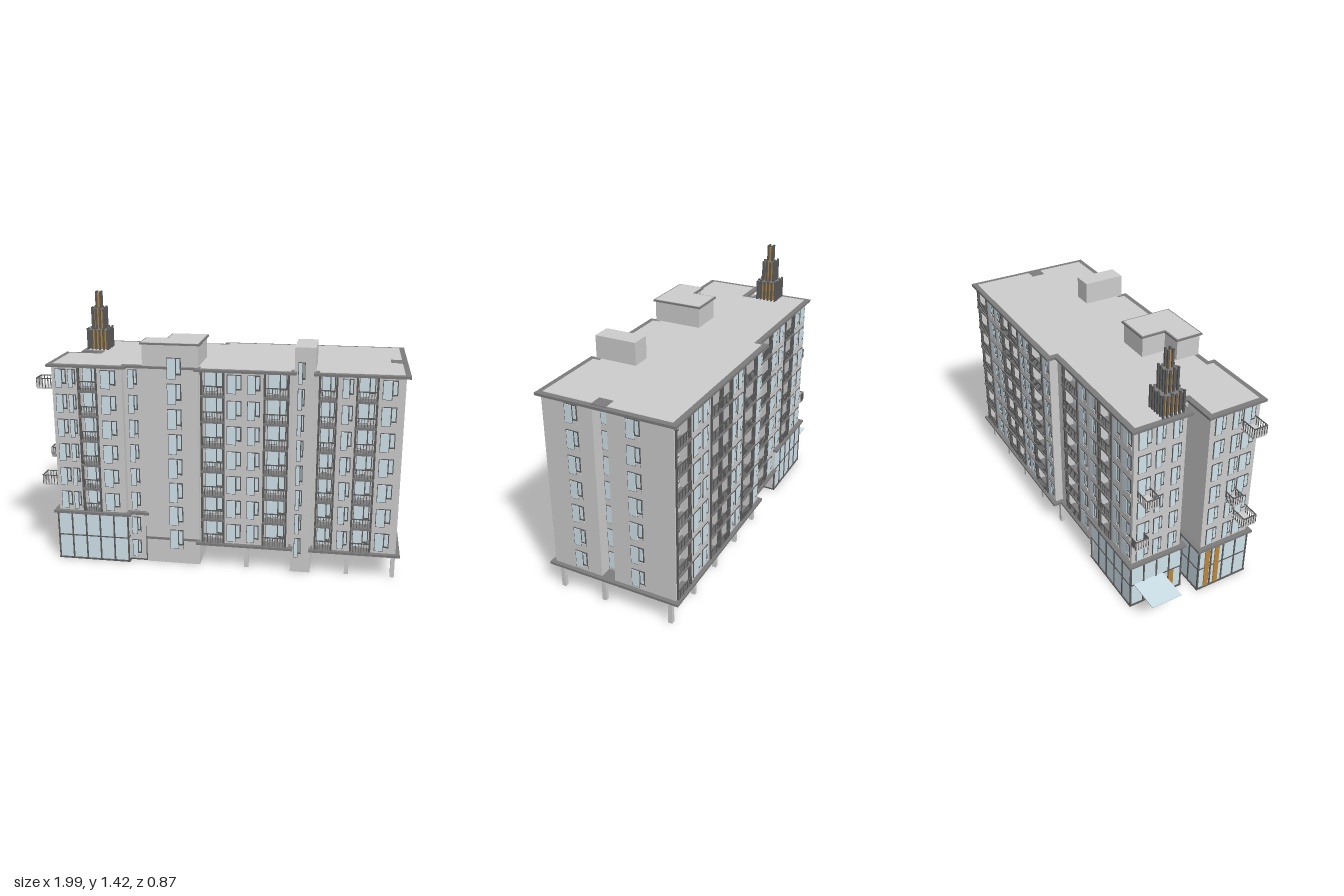
import * as THREE from 'three';
import { mergeGeometries } from 'three/addons/utils/BufferGeometryUtils.js';

const mat = (color) => new THREE.MeshStandardMaterial({ color });
const MATS = { wall: mat(0xcccccc), dark: mat(0x5c5c5c), rim: mat(0x7c7c7c), glass: mat(0xcfe2ea), gold: mat(0xb8863b) };
const FLOOR = 0.1357, BASE = 0.145, TOP = 1.085, FLOORS = 7, DEPTH = 0.05;
const floorY = (k) => BASE + k * FLOOR;
const FRONT = 0, RIGHT = Math.PI / 2, BACK = Math.PI, LEFT = -Math.PI / 2;

export function createModel() {
  const model = new THREE.Group();
  model.name = 'apartmentBlock';
  const buckets = new Map();

  // Geometry with the same part name is gathered into one mesh
  const put = (name, material, geo) => {
    if (!buckets.has(name)) buckets.set(name, { material, list: [] });
    buckets.get(name).list.push(geo.index ? geo.toNonIndexed() : geo);
  };
  // Box between two corners
  const block = (name, m, x0, x1, y0, y1, z0, z1) => put(name, m,
    new THREE.BoxGeometry(x1 - x0, y1 - y0, z1 - z0).translate((x0 + x1) / 2, (y0 + y1) / 2, (z0 + z1) / 2));
  // Box in the frame of a wall: a along it, b up, c outward
  const onWall = (name, m, o, a, b, c, w, h, d) => put(name, m,
    new THREE.BoxGeometry(w, h, d).translate(a, b, c).rotateY(o.face).translate(o.x, o.y, o.z));
  // Plan polygon extruded upward
  const slab = (name, m, pts, y0, y1) => {
    const shape = new THREE.Shape(pts.map(([x, z]) => new THREE.Vector2(x, -z)));
    put(name, m, new THREE.ExtrudeGeometry(shape, { depth: y1 - y0, bevelEnabled: false })
      .rotateX(-Math.PI / 2).translate(0, y0, 0));
  };
  // Offset a right-angled plan inward
  const inset = (pts, d) => pts.map((p, i) => {
    const q = pts[(i + pts.length - 1) % pts.length], r = pts[(i + 1) % pts.length];
    const n = (a, b) => [-Math.sign(b[1] - a[1]), Math.sign(b[0] - a[0])];
    const n1 = n(q, p), n2 = n(p, r);
    return [p[0] + d * (n1[0] + n2[0]), p[1] + d * (n1[1] + n2[1])];
  });

  // Window: dark frame, wide pane and a narrow opening sash
  const windowUnit = (x, y, z, face, w, h) => {
    const o = { x, y, z, face }, s = w * 0.36;
    onWall('windowFrames', MATS.dark, o, 0, 0, 0.001, w, h, 0.006);
    onWall('windowPanes', MATS.glass, o, -s / 2, 0, 0.003, w - s - 0.006, h - 0.006, 0.006);
    onWall('windowPanes', MATS.glass, o, w / 2 - s / 2 - 0.001, h * 0.12, 0.002, s - 0.008, h * 0.66, 0.006);
    onWall('windowSills', MATS.wall, o, w / 2 - s / 2, -h * 0.4, 0.003, s, h * 0.2, 0.007);
  };
  const windowColumn = (x, z, face, w, from = 0) => {
    for (let k = from; k < FLOORS; k++) windowUnit(x, floorY(k) + 0.064, z, face, w, 0.1);
  };

  // Railing around three sides of a balcony
  const railing = (o, w, d) => {
    const n = Math.max(3, Math.round(w / 0.014));
    onWall('balconyRails', MATS.dark, o, 0, 0.052, d, w, 0.005, 0.005);
    for (let i = 0; i <= n; i++) onWall('balconyRails', MATS.dark, o, -w / 2 + (w * i) / n, 0.028, d, 0.003, 0.05, 0.003);
  };
  // Recessed balconies, one over another
  const loggia = (u0, u1, z, face, from) => {
    const w = u1 - u0, x = (u0 + u1) / 2;
    for (let k = from; k < FLOORS; k++) {
      const o = { x, y: floorY(k), z, face };
      onWall('balconySlabs', MATS.rim, o, 0, -0.002, -DEPTH / 2 + 0.007, w + 0.008, 0.012, DEPTH + 0.014);
      railing(o, w, 0.009);
      windowUnit(x, floorY(k) + 0.064, z + (face === FRONT ? -DEPTH : DEPTH), face, w * 0.82, 0.11);
    }
    const y0 = from ? 0.285 : BASE;
    for (const e of [u0, u1]) block('loggiaPosts', MATS.dark, e - 0.005, e + 0.005, y0, TOP, z - 0.007, z + 0.007);
  };

  // Roof outline, counter-clockwise in plan
  const roof = [[-0.825, -0.355], [-0.066, -0.355], [-0.066, -0.4], [0.957, -0.4], [0.957, 0.333], [0.484, 0.333],
    [0.484, 0.295], [0.398, 0.295], [0.398, 0.333], [-0.118, 0.333], [-0.118, 0.295], [-0.479, 0.295], [-0.479, 0.333],
    [-0.9, 0.333], [-0.9, 0.005], [-0.72, 0.005], [-0.72, -0.028], [-0.825, -0.028]];
  slab('roofRim', MATS.rim, roof, TOP, 1.098);
  slab('roofField', MATS.wall, inset(roof, 0.028), 1.09, 1.1);
  block('roofSlotCover', MATS.rim, 0.87, 0.94, 1.09, 1.102, -0.04, 0.035);

  // Facades: recessed bays and window columns [centre, width]
  const facades = [
    { z: -0.333, face: BACK, bays: [[-0.6, -0.48], [-0.26, -0.11]], wins: [[-0.75, 0.075], [-0.655, 0.06], [-0.42, 0.06], [-0.32, 0.07]] },
    { z: -0.378, face: BACK, bays: [[0.05, 0.19], [0.35, 0.455], [0.465, 0.57], [0.79, 0.92]], wins: [[0, 0.065], [0.24, 0.06], [0.31, 0.05], [0.63, 0.06], [0.72, 0.075]] },
    { z: 0.311, face: FRONT, bays: [[0.7, 0.8], [0.515, 0.6]], wins: [[0.655, 0.055], [0.86, 0.075]] },
    { z: 0.311, face: FRONT, bays: [[0.24, 0.36], [-0.085, 0.03]], wins: [[0.085, 0.075], [0.185, 0.065]] },
    { z: 0.311, face: FRONT, bays: [[-0.735, -0.64]], wins: [[-0.83, 0.06], [-0.77, 0.04], [-0.575, 0.08]] },
    { z: 0.273, face: FRONT, bays: [], wins: [[-0.455, 0.05]] }];
  const notch = (f) => f.bays.flatMap(([a, b]) => {
    const [s, e] = f.face === BACK ? [a, b] : [b, a], zi = f.z + (f.face === BACK ? DEPTH : -DEPTH);
    return [[s, f.z], [s, zi], [e, zi], [e, f.z]];
  });
  for (const f of facades) {
    for (const [a, b] of f.bays) loggia(a, b, f.z, f.face, b < -0.4 ? 1 : 0);
    for (const [x, w] of f.wins) windowColumn(x, f.z, f.face, w, x < -0.4 ? 1 : 0);
  }

  // Main walls follow the roof outline, cut by the bays
  const p = inset(roof, 0.022);
  const [back1, back2, front1, front2, front3] = facades.map(notch);
  const slot = [[0.935, -0.04], [0.87, -0.04], [0.87, 0.035], [0.935, 0.035]];
  slab('walls', MATS.wall, [p[0], ...back1, ...p.slice(1, 3), ...back2, p[3], ...slot, p[4], ...front1, ...p.slice(5, 9),
    ...front2, ...p.slice(9, 13), ...front3, ...p.slice(13)], BASE, TOP);

  // End walls
  windowColumn(0.935, 0.15, RIGHT, 0.068);
  windowColumn(0.87, -0.002, RIGHT, 0.066);
  windowColumn(0.935, -0.175, RIGHT, 0.072);
  for (const [z, w] of [[0.25, 0.07], [0.18, 0.05], [0.085, 0.06]]) windowColumn(-0.878, z, LEFT, w, 1);
  for (const [z, w] of [[-0.275, 0.07], [-0.19, 0.05], [-0.1, 0.05]]) windowColumn(-0.803, z, LEFT, w, 1);

  // Projecting balconies on the left end
  for (const [x, z0, z1, k, d] of [[-0.878, 0.21, 0.285, 2, 0.095], [-0.878, 0.21, 0.285, 6, 0.095], [-0.878, 0.155, 0.21, 3, 0.065],
    [-0.803, -0.31, -0.245, 4, 0.09], [-0.803, -0.34, -0.27, 2, 0.05]]) {
    const w = z1 - z0, o = { x, y: floorY(k), z: (z0 + z1) / 2, face: LEFT };
    onWall('endBalconies', MATS.wall, o, 0, 0, d / 2, w, 0.01, d);
    onWall('endBalconies', MATS.wall, o, 0, 0.026, d - 0.003, w, 0.042, 0.004);
    railing(o, w, d);
    for (const s of [-1, 1]) {
      onWall('balconyRails', MATS.dark, o, s * w / 2, 0.052, d / 2, 0.004, 0.004, d);
      for (let i = 1; i < 6; i++) onWall('balconyRails', MATS.dark, o, s * w / 2, 0.026, (d * i) / 6, 0.003, 0.05, 0.003);
    }
  }

  // Raised floor slab on columns
  const deck = [[-0.4, -0.355], ...roof.slice(1, 11), [-0.4, 0.295]];
  slab('deckRim', MATS.rim, deck, 0.134, 0.147);
  slab('deckUnderside', MATS.wall, inset(deck, 0.028), 0.132, 0.14);
  const rows = [[-0.345, [0.925, 0.685, 0.44, 0.19, -0.05]], [0.03, [0.925, 0.685, 0.13]], [0.275, [0.925, 0.685, 0.15]]];
  for (const [z, us] of rows) for (const u of us) block('columns', MATS.wall, u - 0.011, u + 0.011, 0, 0.134, z - 0.011, z + 0.011);

  // Two-storey glazed lobby
  const lobby = [[-0.81, -0.34], [-0.4, -0.34], [-0.4, 0.28], [-0.494, 0.28], [-0.494, 0.318], [-0.885, 0.318],
    [-0.885, 0.02], [-0.715, 0.02], [-0.715, -0.04], [-0.81, -0.04]];
  slab('lobbyFloor', MATS.dark, inset(lobby, -0.006), 0, 0.008);
  slab('lobbyGlass', MATS.glass, lobby, 0.006, 0.274);
  slab('lobbyCanopy', MATS.rim, inset(lobby, -0.018), 0.272, 0.286);
  lobby.forEach(([x0, z0], i) => {
    const [x1, z1] = lobby[(i + 1) % lobby.length], len = Math.hypot(x1 - x0, z1 - z0);
    const n = Math.max(1, Math.round(len / 0.075)), top = x0 === -0.4 && x1 === -0.4 ? 0.134 : 0.274;
    for (let j = 0; j < n; j++) {
      const x = x0 + ((x1 - x0) * j) / n, z = z0 + ((z1 - z0) * j) / n;
      block('lobbyMullions', MATS.dark, x - 0.004, x + 0.004, 0, top, z - 0.004, z + 0.004);
    }
    const y = top < 0.2 ? 0.128 : 0.14;
    block('lobbyMullions', MATS.dark, Math.min(x0, x1) - 0.003, Math.max(x0, x1) + 0.003, y - 0.003, y + 0.003,
      Math.min(z0, z1) - 0.003, Math.max(z0, z1) + 0.003);
  });
  block('lobbyPier', MATS.wall, -0.494, -0.398, 0, 0.272, 0.2, 0.284);
  block('lobbyPier', MATS.wall, -0.42, -0.397, 0, 0.132, -0.342, -0.19);
  for (const y of [0.07, 0.205]) windowUnit(-0.455, y, 0.284, FRONT, 0.05, 0.1);
  for (const [x, z] of [[-0.887, 0.07], [-0.887, 0.13], [-0.812, -0.1], [-0.812, -0.2]])
    block('lobbyDoors', MATS.gold, x - 0.003, x + 0.003, 0.008, z > 0 ? 0.27 : 0.135, z - 0.014, z + 0.014);
  block('entranceCanopy', MATS.glass, -0.985, -0.805, 0.137, 0.143, -0.32, -0.15);
  for (const z of [-0.31, -0.235, -0.16]) block('canopyBeams', MATS.gold, -0.975, -0.805, 0.131, 0.137, z - 0.003, z + 0.003);

  // L-shaped stair tower with cap
  const tower = [[-0.29, 0.02], [-0.098, 0.02], [-0.098, 0.298], [-0.402, 0.298], [-0.402, 0.153], [-0.29, 0.153]];
  slab('stairTower', MATS.wall, inset(tower, 0.006), 0, 1.213);
  slab('stairTowerCap', MATS.rim, inset(tower, -0.004), 1.211, 1.22);
  slab('stairTowerRoof', MATS.wall, inset(tower, 0.004), 1.215, 1.222);
  for (let k = 0; k < 8; k++) windowUnit(-0.23, 0.14 + k * FLOOR, 0.292, FRONT, 0.075, 0.112);

  // Lift shaft
  block('liftShaft', MATS.wall, 0.387, 0.492, 0, 1.22, 0.07, 0.297);
  for (let k = 0; k < 8; k++) windowUnit(0.423, 0.14 + k * FLOOR, 0.297, FRONT, 0.036, 0.112);

  // Stepped spire of upright fins
  const sx = -0.742, sz = -0.125;
  for (const [r, y0, y1, n] of [[0.055, 1.095, 1.22, 5], [0.032, 1.2, 1.335, 3], [0.012, 1.3, 1.42, 1]]) {
    const c = r * 0.72;
    block('spireCore', MATS.gold, sx - c, sx + c, y0, y1 - 0.012, sz - c, sz + c);
    for (let i = 0; i <= n; i++) {
      const t = -r + (2 * r * i) / n, h = y1 - (i % 2 && n > 1 ? 0.008 : 0);
      for (const [x, z] of [[t, -r], [t, r], [-r, t], [r, t]])
        block('spireFins', MATS.dark, sx + x - 0.005, sx + x + 0.005, y0, h, sz + z - 0.005, sz + z + 0.005);
    }
    if (n > 1) block('spireCaps', MATS.rim, sx - r, sx + r, y1 - 0.014, y1 - 0.008, sz - r, sz + r);
  }

  for (const [name, { material, list }] of buckets) {
    const mesh = new THREE.Mesh(mergeGeometries(list), material);
    mesh.name = name;
    model.add(mesh);
  }
  // The block stands slightly turned on its site
  model.rotation.y = -THREE.MathUtils.degToRad(6);
  const root = new THREE.Group();
  root.name = 'building';
  root.add(model);
  return root;
}
